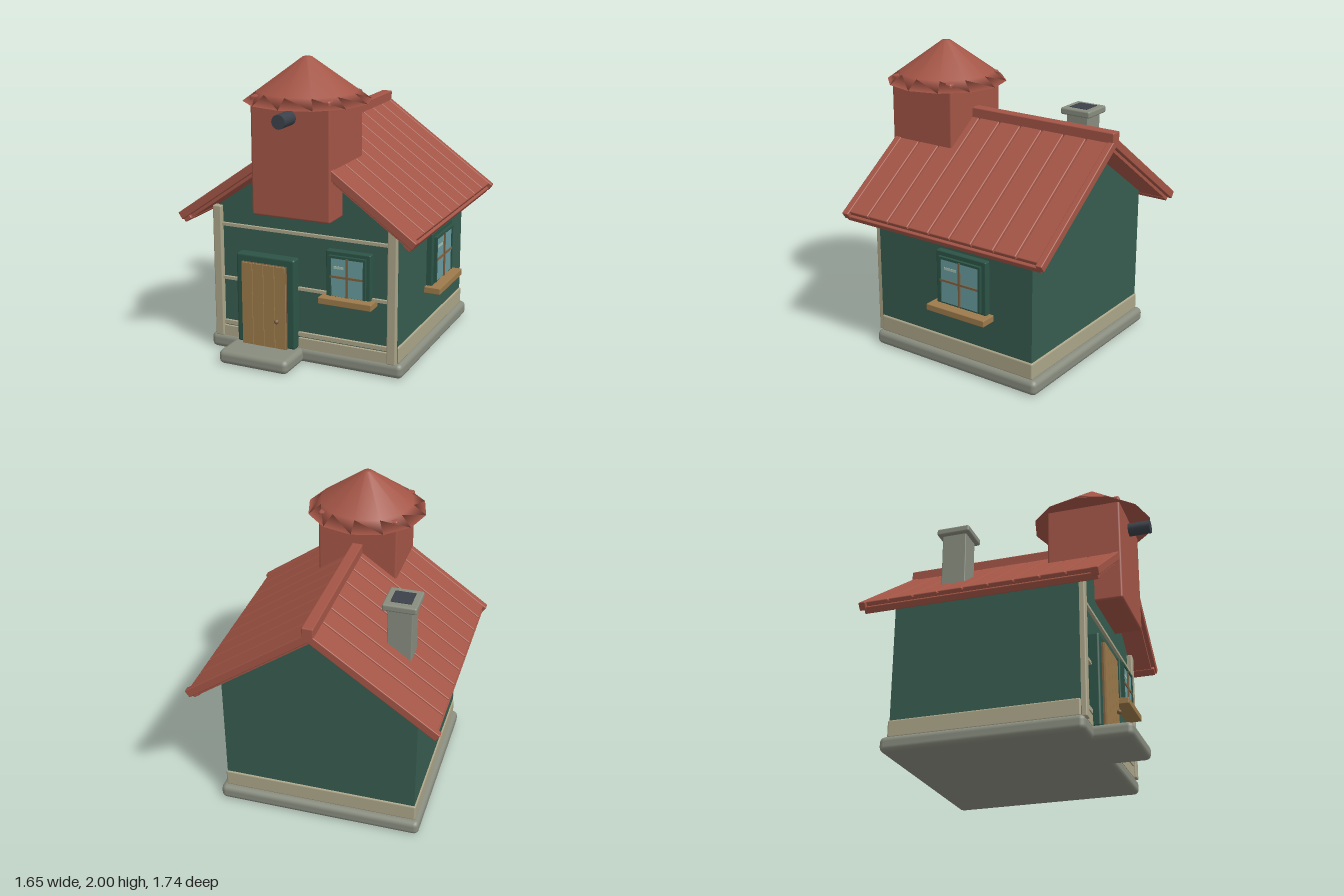
import * as THREE from 'three';
import { RoundedBoxGeometry } from 'three/addons/geometries/RoundedBoxGeometry.js';

const paint = (name, color) => {
  const m = new THREE.MeshStandardMaterial({ color });
  m.name = name;
  return m;
};

export function createModel() {
  const red = paint('roof red', 0xa35546);
  const green = paint('wall green', 0x375c4f);
  const trimGreen = paint('trim green', 0x2c5446);
  const cream = paint('cream trim', 0xaaa488);
  const stone = paint('grey stone', 0x888c7e);
  const wood = paint('wood', 0x9c7a4b);
  const darkWood = paint('dark wood', 0x7d6040);
  const glass = paint('window glass', 0x689b9e);
  const shine = paint('glass highlight', 0xa3bfae);
  const dark = paint('dark iron', 0x3b414a);

  const model = new THREE.Group();
  model.name = 'house';

  function add(parent, name, geometry, material) {
    const mesh = new THREE.Mesh(geometry, material);
    mesh.name = name;
    parent.add(mesh);
    return mesh;
  }

  // Box given by its limits, with optional rounded edges
  function box(parent, name, mat, x0, x1, y0, y1, z0, z1, r = 0) {
    const w = x1 - x0, h = y1 - y0, d = z1 - z0;
    const geo = r ? new RoundedBoxGeometry(w, h, d, 2, r) : new THREE.BoxGeometry(w, h, d);
    const mesh = add(parent, name, geo, mat);
    mesh.position.set((x0 + x1) / 2, (y0 + y1) / 2, (z0 + z1) / 2);
    return mesh;
  }

  // Stone base and doorstep
  box(model, 'foundation', stone, -0.69, 0.69, 0, 0.1, -0.74, 0.56, 0.035);
  box(model, 'doorstep', stone, -0.5, 0, 0, 0.095, 0.4, 0.8, 0.035);

  // Gabled walls
  const gable = new THREE.Shape([
    [-0.65, 0.08], [0.65, 0.08], [0.65, 0.98], [0, 1.43], [-0.65, 0.98],
  ].map(([x, y]) => new THREE.Vector2(x, y)));
  const wallGeo = new THREE.ExtrudeGeometry(gable, { depth: 1.22, bevelEnabled: false });
  wallGeo.translate(0, 0, -0.69);
  add(model, 'walls', wallGeo, green);

  // Skirting on the sides and back, corner posts
  for (const s of [-1, 1]) {
    const x = s * 0.63;
    box(model, 'sideSkirting', cream, x - 0.03, x + 0.03, 0.095, 0.21, -0.7, 0.53, 0.012);
    box(model, 'cornerPost', cream, s * 0.618 - 0.03, s * 0.618 + 0.03, 0.095, 1.0, 0.51, 0.565, 0.008);
  }
  box(model, 'backSkirting', cream, -0.66, 0.66, 0.095, 0.21, -0.7, -0.64, 0.012);

  // Front rails
  for (const [y0, y1] of [[0.095, 0.165], [0.178, 0.205], [0.495, 0.515], [0.865, 0.885]]) {
    box(model, 'frontRail', cream, -0.59, 0.59, y0, y1, 0.52, 0.55);
  }

  // Door with surround, planks and knob
  const door = new THREE.Group();
  door.name = 'door';
  model.add(door);
  box(door, 'doorSurround', trimGreen, -0.46, -0.037, 0.095, 0.71, 0.52, 0.6, 0.015);
  box(door, 'doorLeaf', darkWood, -0.41, -0.09, 0.095, 0.66, 0.56, 0.612);
  for (let i = 0; i < 4; i++) {
    const x = -0.41 + i * 0.08;
    box(door, 'doorPlank', wood, x + 0.002, x + 0.078, 0.097, 0.658, 0.58, 0.624);
  }
  add(door, 'doorKnob', new THREE.SphereGeometry(0.016, 12, 8), darkWood).position.set(-0.15, 0.29, 0.637);

  // Window facing +z with its wall plane at z = 0
  function makeWindow(frameW, f0, f1, glassW, g0, g1, sillW, s0, sillOut, frameOut) {
    const win = new THREE.Group();
    win.name = 'window';
    model.add(win);
    const fw = frameW / 2, gw = glassW / 2, gm = (g0 + g1) / 2, out = frameOut + 0.012;
    box(win, 'windowFrame', trimGreen, -fw, fw, f0, f1, -0.02, frameOut, 0.008);
    box(win, 'windowPane', glass, -gw, gw, g0, g1, 0, out);
    box(win, 'uprightBar', darkWood, -0.007, 0.007, g0, g1, 0.01, out + 0.01);
    box(win, 'crossBar', darkWood, -gw, gw, gm - 0.007, gm + 0.007, 0.01, out + 0.008);
    for (const s of [-1, 1]) {
      box(win, 'sideBar', trimGreen, s * gw - 0.008, s * gw + 0.008, g0, g1 + 0.008, 0.01, out + 0.008);
    }
    box(win, 'topBar', trimGreen, -gw, gw, g1 - 0.008, g1 + 0.008, 0.01, out + 0.008);
    box(win, 'paneHighlight', shine, -gw * 0.78, -gw * 0.2, g1 - 0.077, g1 - 0.06, out, out + 0.003);
    box(win, 'windowSill', wood, -sillW / 2, sillW / 2, s0, f0 + 0.004, -0.02, sillOut, 0.005);
    return win;
  }
  makeWindow(0.305, 0.5, 0.805, 0.235, 0.51, 0.77, 0.365, 0.46, 0.105, 0.045)
    .position.set(0.3275, 0, 0.53);
  const sideWindow = makeWindow(0.39, 0.455, 0.82, 0.31, 0.475, 0.78, 0.455, 0.415, 0.11, 0.04);
  sideWindow.position.set(0.65, 0, -0.172);
  sideWindow.rotation.y = Math.PI / 2;

  // Roof halves: slab, boards, edge boards and eave
  const pitch = Math.atan(0.705);
  for (const s of [-1, 1]) {
    const half = new THREE.Group();
    half.name = s > 0 ? 'leftRoof' : 'rightRoof';
    half.position.y = 1.54;
    half.rotation.z = -s * pitch;
    model.add(half);
    const slope = (name, a, b, y0, y1, z0, z1, r) =>
      box(half, name, red, Math.min(s * a, s * b), Math.max(s * a, s * b), y0, y1, z0, z1, r);
    slope('roofSlab', 0, 0.985, -0.07, -0.014, -0.84, 0.67);
    const n = 9, step = 1.5 / n;
    for (let i = 0; i < n; i++) {
      const z = -0.84 + i * step;
      slope('roofBoard', 0, 0.985, -0.035, 0, z + 0.004, z + step - 0.004, 0.007);
    }
    slope('backEdgeBoard', 0, 1.01, -0.05, 0.004, -0.87, -0.825, 0.006);
    slope('frontEdgeBoard', 0, 1.01, -0.05, 0.004, 0.65, 0.7, 0.006);
    slope('eaveBoard', 0.95, 1.005, -0.075, -0.03, -0.84, 0.69, 0.006);
  }
  box(model, 'ridgeCap', red, -0.037, 0.037, 1.48, 1.58, -0.87, 0.69, 0.008);

  // Chimney
  box(model, 'chimneyShaft', stone, -0.535, -0.375, 1.08, 1.54, -0.43, -0.265, 0.006);
  box(model, 'chimneyCap', stone, -0.565, -0.345, 1.52, 1.567, -0.46, -0.235, 0.012);
  box(model, 'chimneyOpening', dark, -0.522, -0.388, 1.564, 1.57, -0.415, -0.28);

  // Tower with its pointed roof and spout
  box(model, 'tower', red, -0.27, 0.27, 1.02, 1.78, 0.216, 0.716, 0.014);
  const profile = [[0, 1.73], [0.406, 1.73], [0.32, 1.792], [0.03, 2], [0, 2]]
    .map(([x, y]) => new THREE.Vector2(x, y));
  add(model, 'towerRoof', new THREE.LatheGeometry(profile, 12), red).position.z = 0.46;
  const spout = add(model, 'spout', new THREE.CylinderGeometry(0.045, 0.045, 0.18, 20), dark);
  spout.rotation.x = Math.PI / 2;
  spout.position.set(0, 1.66, 0.775);

  return model;
}
